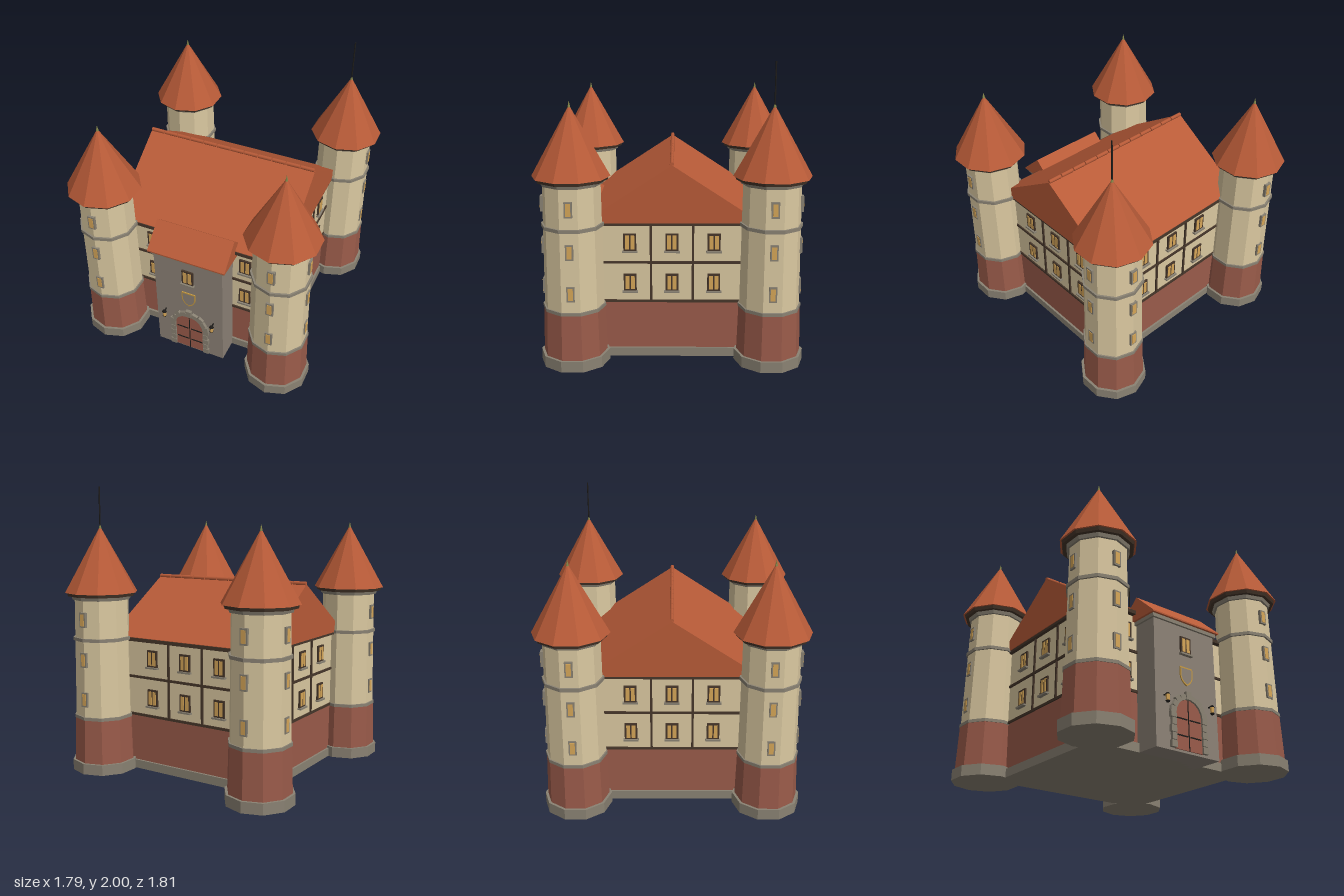
import * as THREE from 'three';

const mat = (name, color) => {
  const m = new THREE.MeshStandardMaterial({ color });
  m.name = name;
  return m;
};

export function createModel() {
  const M = {
    plaster: mat('cream plaster', 0xdac8a0),
    brick: mat('red brick', 0x9a5b4a),
    stone: mat('grey stone', 0x8a8273),
    gateStone: mat('gatehouse stone', 0x8c8276),
    roof: mat('roof tile', 0xb85b38),
    timber: mat('dark timber', 0x46362a),
    glass: mat('lit glass', 0xd6a658),
    gold: mat('gold', 0xc59a45),
    iron: mat('black iron', 0x1e1c1a),
    finial: mat('finial bronze', 0x85864a),
  };
  const model = new THREE.Group();
  model.name = 'castle';

  const add = (parent, name, geo, m, x = 0, y = 0, z = 0) => {
    const mesh = new THREE.Mesh(geo, m);
    mesh.name = name;
    mesh.position.set(x, y, z);
    parent.add(mesh);
    return mesh;
  };
  const box = (parent, name, m, w, h, d, x, y, z) =>
    add(parent, name, new THREE.BoxGeometry(w, h, d), m, x, y, z);
  const group = (parent, name, x = 0, y = 0, z = 0, turn = 0) => {
    const g = new THREE.Group();
    g.name = name;
    g.position.set(x, y, z);
    g.rotation.y = turn;
    parent.add(g);
    return g;
  };
  // Faceted ten-sided drum between two heights
  const drum = (parent, name, m, rTop, rBottom, y0, y1, sides = 10) => {
    const geo = new THREE.CylinderGeometry(rTop, rBottom, y1 - y0, sides).toNonIndexed();
    geo.computeVertexNormals();
    return add(parent, name, geo, m, 0, (y0 + y1) / 2, 0);
  };
  // Solid gabled roof with its ridge along x
  const gable = (parent, name, half, y0, y1, length, z) => {
    const s = new THREE.Shape();
    s.moveTo(-half, y0);
    s.lineTo(half, y0);
    s.lineTo(half, y0 + 0.01);
    s.lineTo(0, y1);
    s.lineTo(-half, y0 + 0.01);
    const geo = new THREE.ExtrudeGeometry(s, { depth: length, bevelEnabled: false });
    geo.translate(0, 0, -length / 2);
    geo.rotateY(Math.PI / 2);
    return add(parent, name, geo, M.roof, 0, 0, z);
  };
  // Twin-pane window with sill, facing +z
  const hallWindow = (parent, x, y, z) => {
    const g = group(parent, 'window', x, y, z);
    box(g, 'windowFrame', M.timber, 0.086, 0.12, 0.024, 0, 0, 0);
    for (const s of [-1, 1]) box(g, 'windowPane', M.glass, 0.026, 0.094, 0.005, s * 0.018, 0, 0.0125);
    box(g, 'windowSill', M.stone, 0.104, 0.012, 0.05, 0, -0.064, 0);
  };

  // Main hall
  const hall = group(model, 'hall');
  box(hall, 'hallPlinth', M.stone, 1.23, 0.06, 1.13, 0, 0.03, 0);
  box(hall, 'hallLowerWalls', M.brick, 1.2, 0.34, 1.1, 0, 0.225, 0);
  box(hall, 'hallUpperWalls', M.plaster, 1.2, 0.545, 1.1, 0, 0.6675, 0);
  for (const y of [0.397, 0.67]) box(hall, 'timberBelt', M.timber, 1.22, 0.017, 1.12, 0, y, 0);
  box(hall, 'eaveBeam', M.timber, 1.25, 0.025, 1.17, 0, 0.94, 0);
  gable(hall, 'hallRoof', 0.58, 0.945, 1.335, 1.26, 0);
  for (let i = 0; i < 12; i++) {
    const geo = new THREE.CylinderGeometry(0.014, 0.014, 0.098, 8);
    geo.rotateZ(Math.PI / 2);
    add(hall, 'ridgeTile', geo, M.roof, (i - 5.5) * 0.105, 1.34, 0);
  }

  // Facades: front, right, back, left
  const facades = [
    ['frontFacade', 0, 0.55, [-0.355, 0.355], []],
    ['leftFacade', Math.PI / 2, 0.6, [-0.28, 0, 0.28], [-0.14, 0.14]],
    ['backFacade', Math.PI, 0.55, [-0.28, 0, 0.28], [-0.14, 0.14]],
    ['rightFacade', -Math.PI / 2, 0.6, [-0.28, 0, 0.28], [-0.14, 0.14]],
  ];
  for (const [name, turn, dist, windows, posts] of facades) {
    const f = group(model, name, 0, 0, 0, turn);
    for (const x of windows) for (const y of [0.53, 0.81]) hallWindow(f, x, y, dist);
    for (const x of posts) box(f, 'timberPost', M.timber, 0.015, 0.53, 0.02, x, 0.665, dist);
  }

  // Corner towers
  for (const sx of [-1, 1]) for (const sz of [-1, 1]) {
    const t = group(model, 'tower', sx * 0.65, 0, sz * 0.65);
    drum(t, 'towerPlinth', M.stone, 0.232, 0.232, 0, 0.075);
    drum(t, 'towerLowerWall', M.brick, 0.205, 0.214, 0.075, 0.39);
    drum(t, 'towerUpperWall', M.plaster, 0.19, 0.2, 0.39, 1.23);
    drum(t, 'towerLowerBand', M.stone, 0.21, 0.21, 0.383, 0.405);
    drum(t, 'towerUpperBand', M.stone, 0.206, 0.206, 0.937, 0.96);
    drum(t, 'towerCornice', M.stone, 0.213, 0.205, 1.222, 1.25);
    drum(t, 'towerEave', M.timber, 0.244, 0.236, 1.247, 1.272);
    drum(t, 'towerRoof', M.roof, 0.004, 0.256, 1.27, 1.72);
    drum(t, 'towerFinial', M.finial, 0.001, 0.014, 1.69, 1.75, 6);
    // Windows on the two outward sides
    const sides = [[sz > 0 ? 0 : Math.PI, 0.204], [sx * Math.PI / 2, 0.196]];
    for (const [turn, reach] of sides) {
      const g = group(t, 'towerWindows', 0, 0, 0, turn);
      for (const y of [0.53, 0.81, 1.09]) {
        box(g, 'towerWindowFrame', M.stone, 0.052, 0.104, 0.03, 0, y, reach - 0.015);
        box(g, 'towerWindowPane', M.glass, 0.032, 0.082, 0.005, 0, y, reach);
      }
    }
    if (sx > 0 && sz < 0) drum(t, 'flagpole', M.iron, 0.005, 0.005, 1.7, 2, 8);
  }

  // Gatehouse
  const gate = group(model, 'gatehouse');
  const face = 0.725;
  box(gate, 'gateWalls', M.gateStone, 0.52, 0.87, 0.27, 0, 0.435, face - 0.135);
  box(gate, 'gateCornice', M.stone, 0.55, 0.025, 0.3, 0, 0.872, 0.59);
  gable(gate, 'gateRoof', 0.165, 0.885, 1.05, 0.58, 0.59);
  hallWindow(gate, 0, 0.725, face);

  // Arched door with iron straps
  const R = 0.112, spring = 0.238;
  const doorShape = new THREE.Shape();
  doorShape.moveTo(-R, 0.015);
  doorShape.lineTo(R, 0.015);
  doorShape.lineTo(R, spring);
  doorShape.absarc(0, spring, R, 0, Math.PI, false);
  add(gate, 'door', new THREE.ExtrudeGeometry(doorShape, { depth: 0.008, bevelEnabled: false, curveSegments: 12 }),
    M.brick, 0, 0, face);
  box(gate, 'doorSeam', M.iron, 0.006, 0.33, 0.004, 0, 0.18, face + 0.009);
  for (const s of [-1, 1]) for (const y of [0.105, 0.215])
    box(gate, 'doorStrap', M.iron, 0.09, 0.008, 0.004, s * 0.055, y, face + 0.01);

  // Stone surround: jamb blocks, arch stones and keystone
  for (const s of [-1, 1]) for (let i = 0; i < 5; i++) {
    const w = i % 2 ? 0.036 : 0.044;
    box(gate, 'jambStone', M.stone, w, 0.044, 0.026, s * (R - 0.004 + w / 2), 0.04 + i * 0.048, face + 0.008);
  }
  for (let i = 0; i < 9; i++) {
    const a = (i + 0.5) * Math.PI / 9;
    const h = i === 4 ? 0.054 : i % 2 ? 0.036 : 0.044;
    const r = R - 0.004 + h / 2;
    const v = box(gate, i === 4 ? 'keystone' : 'archStone', M.stone, 0.043, h, i === 4 ? 0.034 : 0.026,
      Math.cos(a) * r, spring + Math.sin(a) * r, face + 0.008);
    v.rotation.z = a - Math.PI / 2;
  }

  // Shield with a gold rim
  const shield = (k) => {
    const s = new THREE.Shape();
    s.moveTo(-0.052 * k, 0.06 * k);
    s.lineTo(0.052 * k, 0.06 * k);
    s.lineTo(0.052 * k, 0);
    s.quadraticCurveTo(0.045 * k, -0.045 * k, 0, -0.066 * k);
    s.quadraticCurveTo(-0.045 * k, -0.045 * k, -0.052 * k, 0);
    return s;
  };
  const rim = shield(1);
  rim.holes.push(shield(0.84));
  const thin = { depth: 0.008, bevelEnabled: false, curveSegments: 6 };
  add(gate, 'shieldRim', new THREE.ExtrudeGeometry(rim, thin), M.gold, 0, 0.512, face);
  add(gate, 'shieldField', new THREE.ExtrudeGeometry(shield(0.85), { ...thin, depth: 0.004 }), M.gateStone, 0, 0.512, face);

  // Wall lanterns
  for (const s of [-1, 1]) {
    const l = group(gate, 'lantern', s * 0.188, 0, face + 0.033);
    drum(l, 'lanternGlass', M.glass, 0.014, 0.012, 0.295, 0.338, 6);
    drum(l, 'lanternCap', M.iron, 0.008, 0.019, 0.336, 0.349, 6);
    drum(l, 'lanternBase', M.iron, 0.015, 0.01, 0.286, 0.296, 6);
    box(l, 'lanternBracket', M.iron, 0.008, 0.008, 0.035, 0, 0.342, -0.017);
  }

  return model;
}
